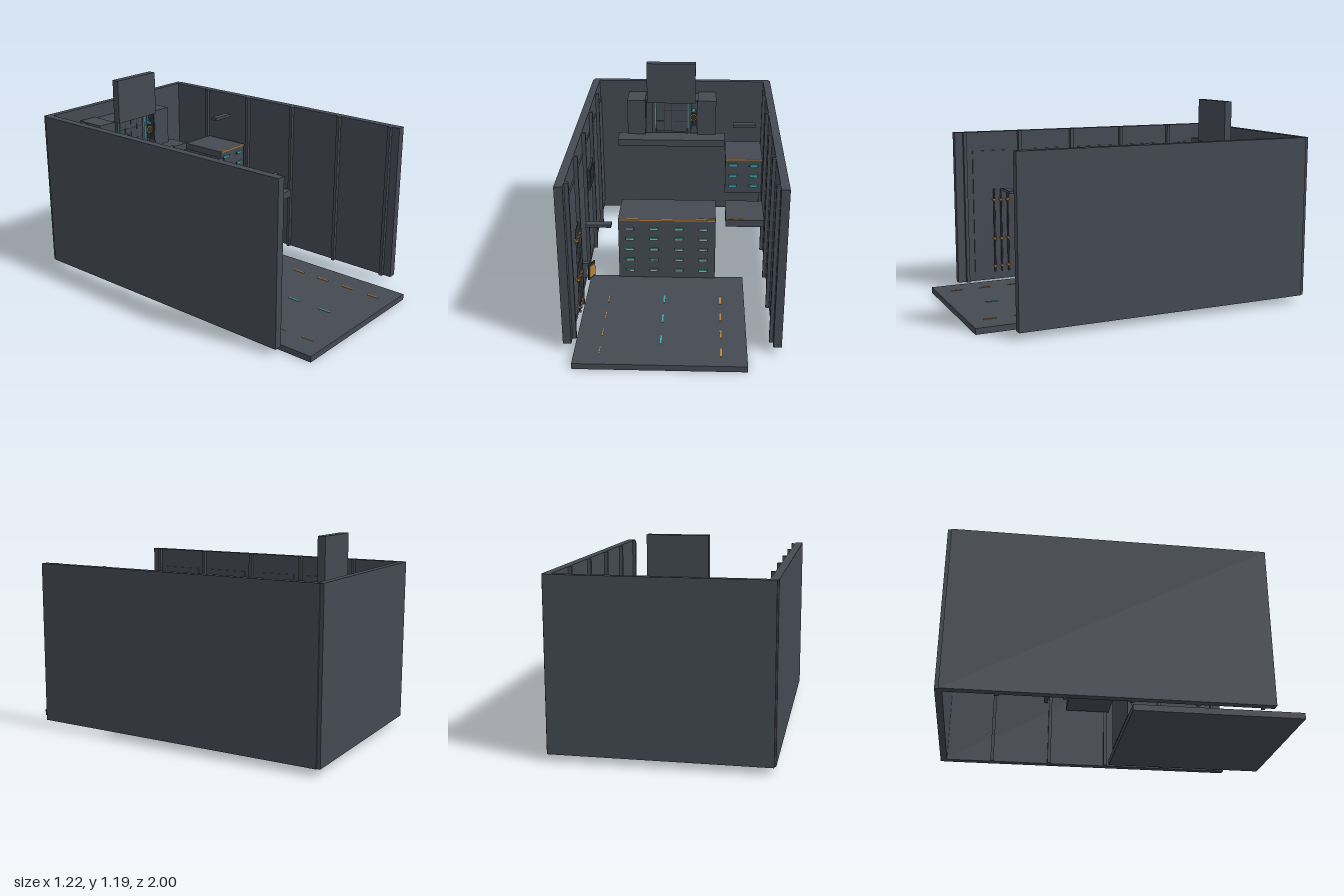
import * as THREE from 'three';

const mat = (name, color) => {
  const m = new THREE.MeshStandardMaterial({ color });
  m.name = name;
  return m;
};

export function createModel() {
  const root = new THREE.Group();
  root.name = 'workshopBay';
  const steel = mat('darkSteel', 0x444953);
  const shade = mat('blackTrim', 0x2b2f36);
  const orange = mat('orangeTrim', 0xb98038);
  const teal = mat('tealLight', 0x3fa3a6);
  const pale = mat('paleMetal', 0xa9adb2);

  // Box given by its limits on each axis
  const box = (name, m, x0, x1, y0, y1, z0, z1, parent = root) => {
    const mesh = new THREE.Mesh(new THREE.BoxGeometry(x1 - x0, y1 - y0, z1 - z0), m);
    mesh.position.set((x0 + x1) / 2, (y0 + y1) / 2, (z0 + z1) / 2);
    mesh.name = name;
    parent.add(mesh);
    return mesh;
  };

  // Walls
  box('rightWall', steel, -0.61, -0.563, 0.04, 1, -0.98, 0.82);
  box('leftWall', steel, 0.561, 0.608, 0.04, 1, -0.98, 0.82);
  box('backWall', steel, -0.602, 0.6, 0.04, 1, -1, -0.96);

  // Wall ribs and the framed panels between them
  const ribs = [-0.68, -0.32, 0.04, 0.4, 0.76];
  for (const z of ribs) {
    box('wallRib', steel, -0.563, -0.54, 0.04, 1, z - 0.01, z + 0.01);
    box('wallRib', steel, 0.54, 0.561, 0.04, 1, z - 0.01, z + 0.01);
  }
  for (const z of [-0.86, -0.5, -0.14, 0.22, 0.58]) {
    const half = z < -0.8 ? 0.09 : 0.13;
    box('wallPanel', steel, -0.563, -0.555, 0.1, 0.88, z - half, z + half);
  }

  // Floor with lane dashes
  box('floor', steel, -0.54, 0.415, 0, 0.035, 0.045, 1);
  for (const z of [0.335, 0.515, 0.695, 0.875]) {
    box('laneDash', orange, -0.402, -0.397, 0.034, 0.038, z - 0.037, z + 0.037);
    box('laneDash', orange, 0.266, 0.276, 0.034, 0.038, z - 0.037, z + 0.037);
  }
  for (const z of [0.328, 0.54, 0.757]) {
    box('centreDash', teal, -0.07, -0.06, 0.034, 0.038, z - 0.04, z + 0.04);
  }

  // Drawer pull: dark cup, light strip, pale lip
  const pull = (x, y, z, front) => {
    const g = new THREE.Group();
    g.name = 'drawerPull';
    box('pullCup', shade, x - 0.029, x + 0.029, y - 0.008, y + 0.008, z, z + 0.006, g);
    box('pullLip', front, x - 0.023, x + 0.023, y - 0.005, y + 0.004, z + 0.004, z + 0.009, g);
    box('pullGlow', teal, x - 0.026, x + 0.026, y + 0.004, y + 0.009, z, z + 0.008, g);
    root.add(g);
  };

  // Large drawer unit: front panel under a worktop, open behind
  box('drawerFront', steel, -0.36, 0.24, 0.04, 0.44, 0.045, 0.068);
  box('worktop', steel, -0.36, 0.24, 0.4, 0.445, -0.22, 0.06);
  box('worktopEdge', orange, -0.355, 0.238, 0.438, 0.447, 0.064, 0.073);
  for (const x of [-0.29, -0.14, 0.015, 0.165]) {
    for (const y of [0.09, 0.165, 0.238, 0.31, 0.38]) pull(x, y, 0.068, pale);
  }

  // Side worktop and its markings
  box('sideWorktop', steel, 0.3, 0.536, 0.4, 0.445, -0.22, 0.06);
  for (const x of [0.15, 0.215, 0.335, 0.395]) {
    box('worktopDash', orange, x - 0.016, x + 0.016, 0.444, 0.449, 0.036, 0.044);
  }

  // Raised drawer unit
  box('upperDrawerFront', steel, 0.3, 0.536, 0.445, 0.68, -0.365, -0.342);
  box('upperDrawerTop', steel, 0.3, 0.536, 0.64, 0.682, -0.65, -0.345);
  box('upperDrawerEdge', orange, 0.302, 0.534, 0.675, 0.684, -0.344, -0.336);
  for (const x of [0.35, 0.483]) {
    for (const y of [0.495, 0.565, 0.637]) pull(x, y, -0.342, teal);
  }

  // Desk, side cabinets and central housing
  box('desk', steel, -0.42, 0.3, 0.64, 0.685, -0.79, -0.65);
  box('deskCabinet', steel, -0.36, -0.24, 0.685, 0.925, -0.95, -0.76);
  box('deskCabinet', steel, 0.115, 0.24, 0.685, 0.925, -0.95, -0.76);
  box('housing', steel, -0.24, 0.115, 0.66, 0.912, -0.96, -0.815);
  box('housingFace', steel, -0.165, 0.042, 0.69, 0.91, -0.815, -0.803);
  for (const x of [-0.18, 0.06]) {
    box('housingPost', steel, x - 0.012, x + 0.012, 0.685, 0.912, -0.815, -0.79);
  }
  for (const x of [-0.17, 0.048]) {
    box('housingLight', teal, x - 0.004, x + 0.004, 0.72, 0.9, -0.797, -0.786);
  }
  for (const x of [-0.237, 0.112]) {
    box('cabinetSeal', shade, x - 0.003, x + 0.003, 0.725, 0.91, -0.8, -0.762);
  }
  for (const x of [-0.113, -0.061, -0.009]) {
    box('gridBar', shade, x - 0.001, x + 0.001, 0.69, 0.91, -0.803, -0.801);
  }
  for (const y of [0.765, 0.84]) {
    box('gridBar', shade, -0.165, 0.042, y - 0.001, y + 0.001, -0.803, -0.801);
  }
  box('raisedPanel', steel, -0.225, 0.1, 0.917, 1.19, -0.78, -0.733);

  // Valve with a ring wheel
  box('valveBody', shade, 0.078, 0.1, 0.74, 0.84, -0.815, -0.79);
  box('valveCap', teal, 0.075, 0.101, 0.839, 0.85, -0.815, -0.775);
  const ring = new THREE.Mesh(new THREE.TorusGeometry(0.021, 0.005, 6, 12), orange);
  ring.name = 'valveWheel';
  ring.position.set(0.088, 0.8, -0.782);
  const hub = new THREE.Mesh(new THREE.CylinderGeometry(0.018, 0.018, 0.014, 12), shade);
  hub.name = 'valveHub';
  hub.rotation.x = Math.PI / 2;
  hub.position.set(0.088, 0.8, -0.784);
  root.add(ring, hub);

  // Hanging lamps
  box('lamp', steel, 0.345, 0.49, 0.868, 0.886, -0.462, -0.42);
  box('lamp', steel, -0.493, -0.35, 0.626, 0.643, 0.494, 0.54);

  // Wall pipes with clamps
  for (const z of [0.49, 0.535, 0.58]) {
    const pipe = new THREE.Mesh(new THREE.CylinderGeometry(0.006, 0.006, 0.54, 8), steel);
    pipe.name = 'wallPipe';
    pipe.position.set(-0.541, 0.365, z);
    root.add(pipe);
    for (const y of [0.133, 0.313, 0.565]) {
      box('pipeClamp', orange, -0.555, -0.528, y - 0.005, y + 0.005, z - 0.01, z + 0.01);
    }
  }

  // Display plate on the wall
  box('wallDisplay', steel, -0.556, -0.545, 0.56, 0.7, -0.285, -0.095);
  box('displayFace', shade, -0.546, -0.54, 0.575, 0.685, -0.27, -0.11);

  // Control box with a tilted cover
  box('controlBox', steel, -0.556, -0.512, 0.185, 0.28, 0.305, 0.335);
  box('controlStrip', teal, -0.527, -0.518, 0.205, 0.265, 0.333, 0.338);
  const cover = new THREE.Group();
  cover.name = 'controlCover';
  box('coverPlate', shade, -0.038, 0.038, -0.05, 0.05, -0.006, 0, cover);
  box('coverFace', orange, -0.03, 0.03, -0.035, 0.035, 0, 0.004, cover);
  cover.position.set(-0.496, 0.235, 0.335);
  cover.rotation.y = 1.15;
  root.add(cover);

  return root;
}
